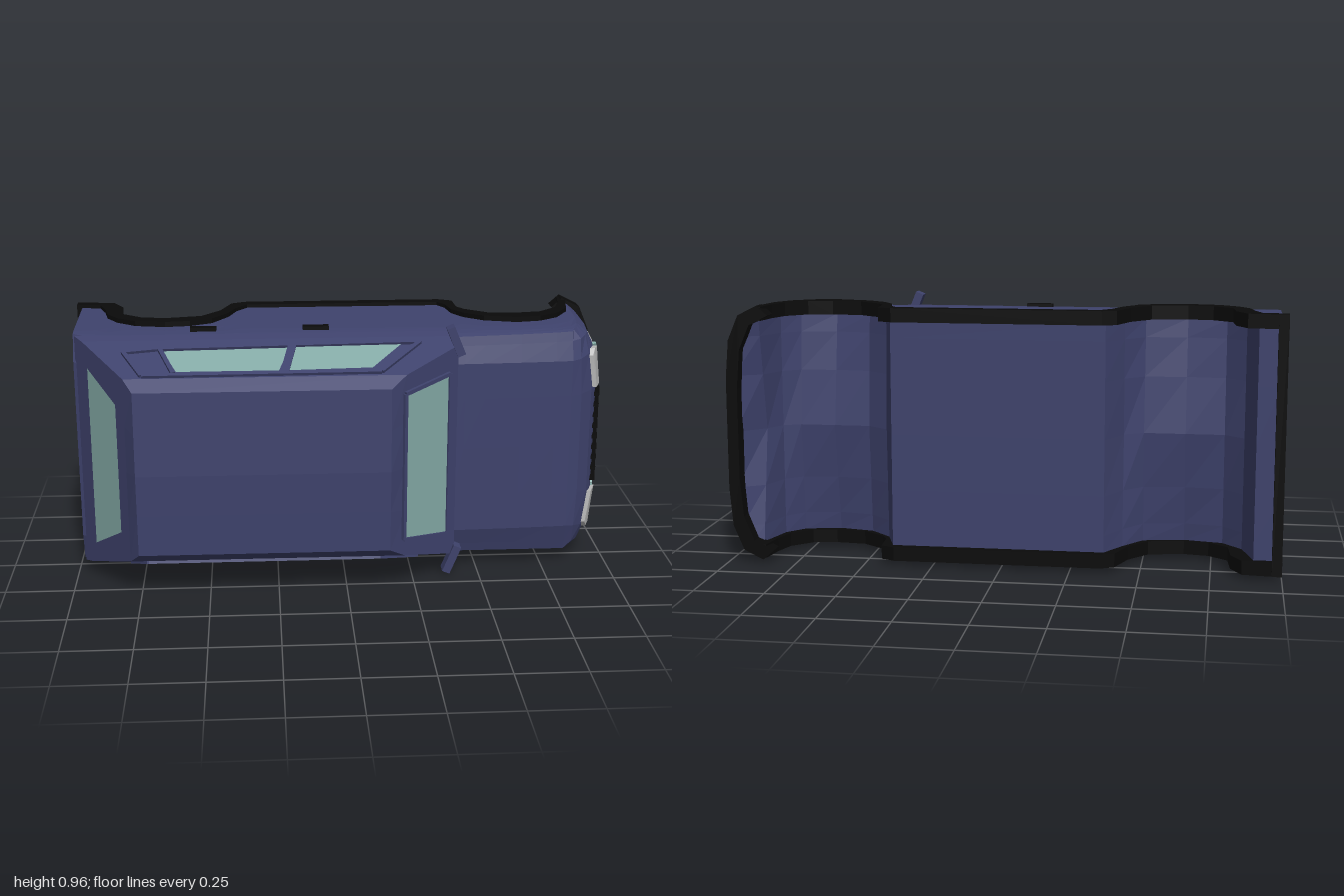
import * as THREE from 'three';

const COLORS = { body: 0x3e426c, black: 0x0a0a0a, glass: 0x84aaa6, lamp: 0xb8b8b8 };
const MATS = Object.fromEntries(Object.entries(COLORS).map(([k, color]) =>
  [k, new THREE.MeshStandardMaterial({ color, flatShading: true, side: THREE.DoubleSide })]));

// Piecewise-linear lookup in a table of [key, value] pairs
function look(table, t) {
  if (t <= table[0][0]) return table[0][1];
  for (let i = 1; i < table.length; i++) {
    const [a, p] = table[i - 1], [b, q] = table[i];
    if (t <= b) return p + (q - p) * (t - a) / (b - a);
  }
  return table[table.length - 1][1];
}

// The car lies on its side: +x is its nose, +z its roof, y runs across it.
// Front face position, receding towards the hood and the corners
const NOSE = [[-0.3, 0.973], [-0.1, 0.966], [0, 0.952], [0.04, 0.932], [0.07, 0.908], [0.1, 0.87]];
const BEND = [[0.2, 0], [0.36, 0.018], [0.41, 0.045], [0.445, 0.09]];
const noseX = (y, z) => look(NOSE, z) - look(BEND, Math.abs(y));
const bodyHalf = z => look([[-0.32, 0.448], [0, 0.44], [0.06, 0.432], [0.1, 0.415]], z);
const cabinHalf = z => look([[0.06, 0.435], [0.1, 0.425], [0.31, 0.342], [0.355, 0.303]], z);
const screenX = z => Math.min(0.41, 0.145 + (0.36 - z) * 1.27);
const tailX = z => -0.98 + (z - 0.05) * 0.75;

// Side outline: x, lower edge, underside at the middle, top
const STATIONS = [
  [-0.98, -0.33, -0.33, 0.06], [-0.9, -0.33, -0.33, 0.1], [-0.86, -0.18, -0.2, 0.1],
  [-0.79, -0.1, -0.14, 0.1], [-0.65, -0.07, -0.14, 0.1], [-0.5, -0.1, -0.14, 0.1],
  [-0.43, -0.2, -0.18, 0.1], [-0.37, -0.3, -0.3, 0.1], [0.4, -0.3, -0.3, 0.122],
  [0.44, -0.18, -0.2, 0.12], [0.52, -0.1, -0.14, 0.117], [0.65, -0.07, -0.14, 0.112],
  [0.78, -0.1, -0.14, 0.105], [0.84, -0.17, -0.17, 0.1], [0.88, -0.32, -0.24, 0.087],
  [0.975, -0.33, -0.33, 0.05]];

// Box whose grid points (column, across, row) are moved by a rule
function gridBox(nx, ny, nz, rule) {
  const g = new THREE.BoxGeometry(1, 1, 1, nx, ny, nz), p = g.attributes.position;
  for (let i = 0; i < p.count; i++) {
    const at = (v, n) => Math.round((v + 0.5) * n);
    p.setXYZ(i, ...rule(at(p.getX(i), nx), at(p.getY(i), ny), at(p.getZ(i), nz)));
  }
  g.computeVertexNormals();
  return g;
}

export function createModel() {
  const model = new THREE.Group();
  model.name = 'car';
  model.position.y = 0.478;
  const add = (name, geo, mat, parent = model) => {
    const m = new THREE.Mesh(geo, MATS[mat]);
    m.name = name;
    parent.add(m);
    return m;
  };
  const group = name => {
    const g = new THREE.Group();
    g.name = name;
    model.add(g);
    return g;
  };
  // Bar from a to b, w wide and d deep along the up direction
  const bar = (name, a, b, w, d, mat, up, parent) => {
    const A = new THREE.Vector3(...a), B = new THREE.Vector3(...b);
    const m = add(name, new THREE.BoxGeometry(w, d, A.distanceTo(B)), mat, parent);
    m.quaternion.setFromRotationMatrix(new THREE.Matrix4().lookAt(A, B, new THREE.Vector3(...up)));
    m.position.copy(A).add(B).multiplyScalar(0.5);
  };
  const path = (name, pts, w, d, mat, up, parent) => {
    for (let i = 1; i < pts.length; i++) bar(name, pts[i - 1], pts[i], w, d, mat, up, parent);
  };
  const box = (name, size, pos, mat, parent) =>
    add(name, new THREE.BoxGeometry(...size), mat, parent).position.set(...pos);
  // Thin flat panel through corner points
  const panel = (name, pts, mat, parent) => {
    const v = [];
    for (let i = 1; i < pts.length - 1; i++) v.push(...pts[0], ...pts[i], ...pts[i + 1]);
    const g = new THREE.BufferGeometry();
    g.setAttribute('position', new THREE.Float32BufferAttribute(v, 3));
    g.computeVertexNormals();
    add(name, g, mat, parent);
  };
  const extrude = (pts, depth) => new THREE.ExtrudeGeometry(
    new THREE.Shape(pts.map(p => new THREE.Vector2(...p))), { depth, bevelEnabled: false });

  // Lower body with wheel wells
  const across = [-1, -0.93, -0.78, -0.46, 0, 0.46, 0.78, 0.93, 1];
  const rows = [0, 0.3, 0.6, 0.82, 0.93, 1];
  add('lowerBody', gridBox(STATIONS.length - 1, 8, 5, (i, j, k) => {
    const [x, edge, mid, top] = STATIONS[i], f = Math.abs(across[j]);
    const low = mid + (edge - mid) * f, high = top - 0.03 * Math.max(0, (f - 0.78) / 0.22);
    const z = low + (high - low) * rows[k], y = across[j] * bodyHalf(z);
    return [Math.min(x, noseX(y, z)), y, z];
  }), 'body');

  // Cabin with a slightly crowned roof
  const levels = [0.06, 0.1, 0.152, 0.31, 0.355];
  add('cabin', gridBox(1, 4, 4, (i, j, k) => {
    const z = levels[k], f = j / 2 - 1;
    const crown = k === 4 ? 0.012 * (1 - Math.abs(f)) : 0;
    return [i ? screenX(z) : tailX(z), f * cabinHalf(z), z + crown];
  }), 'body');

  // Windscreen with its frame, and the flush rear window
  const screen = (xAt, s, hi, lo, wHi, wLo) => [[-wHi, hi], [wHi, hi], [wLo, lo], [-wLo, lo]]
    .map(([y, z]) => [xAt(z) + s * 0.005, y, z + 0.004]);
  const front = screen(screenX, 1, 0.318, 0.182, 0.275, 0.308);
  panel('windscreen', front, 'glass');
  path('windscreenFrame', [...front, front[0]], 0.014, 0.012, 'body', [1, 0, 1.27], group('windscreenFrame'));
  panel('rearWindow', screen(tailX, -1, 0.275, 0.133, 0.24, 0.335), 'glass');

  // Black trim outline: body edge, then the opening edge back
  const trim = [[-1, -0.32], [-0.91, -0.31], [-0.885, -0.24], [-0.87, -0.16], [-0.83, -0.1],
    [-0.76, -0.05], [-0.65, -0.03], [-0.56, -0.04], [-0.48, -0.075], [-0.42, -0.16], [-0.39, -0.24],
    [-0.35, -0.29], [0.38, -0.29], [0.405, -0.25], [0.42, -0.17], [0.46, -0.11], [0.53, -0.06],
    [0.65, -0.03], [0.74, -0.045], [0.81, -0.09], [0.86, -0.17], [0.885, -0.31], [0.88, -0.365],
    [0.86, -0.36], [0.845, -0.26], [0.82, -0.18], [0.75, -0.115], [0.66, -0.1], [0.55, -0.11],
    [0.47, -0.17], [0.445, -0.21], [0.44, -0.31], [0.39, -0.335], [-0.36, -0.335], [-0.41, -0.31],
    [-0.45, -0.2], [-0.52, -0.115], [-0.65, -0.09], [-0.74, -0.105], [-0.81, -0.16],
    [-0.82, -0.27], [-0.86, -0.345], [-1, -0.36]];

  for (const s of [1, -1]) {
    const side = group(s > 0 ? 'upperSide' : 'lowerSide');
    const t = add('wheelArchTrim', extrude(trim, 0.05).rotateX(Math.PI / 2), 'black', side);
    t.position.y = s > 0 ? 0.46 : -0.41;
    // Side windows and frame
    const up = [0, s, 0.4];
    const at = ([x, z], off) => [x, s * (cabinHalf(z) + off), z + off * 0.4];
    for (const w of [
      [[-0.65, 0.17], [-0.6, 0.283], [-0.24, 0.283], [-0.2, 0.16]],
      [[-0.18, 0.157], [-0.21, 0.283], [0.09, 0.275], [0.2, 0.15]]])
      panel('sideWindow', w.map(p => at(p, 0.006)), 'glass', side);
    const frame = [[-0.79, 0.17], [-0.72, 0.3], [0.12, 0.295], [0.27, 0.135], [-0.67, 0.155], [-0.79, 0.17]];
    path('windowFrame', frame.map(p => at(p, 0.003)), 0.016, 0.014, 'body', up, side);
    bar('doorPillar', at([-0.22, 0.29], 0.003), at([-0.19, 0.15], 0.003), 0.03, 0.014, 'body', up, side);
    bar('rearPillar', at([-0.61, 0.29], 0.003), at([-0.66, 0.16], 0.003), 0.016, 0.014, 'body', up, side);
    // Door handles and mirror
    for (const x of [-0.51, -0.1])
      box('doorHandle', [0.095, 0.03, 0.03], [x, s * 0.435, 0.013], 'black', side);
    bar('mirror', [0.42, s * 0.37, 0.15], [0.378, s * 0.472, 0.15], 0.03, 0.05, 'body', [0, 0, 1], side);
    // Headlamp and corner strip
    const lampAt = (y, z, off) => [noseX(y, z) + off, s * y, z];
    const lamp = [[0.205, 0.04], [0.33, 0.048], [0.352, 0.03], [0.35, -0.015], [0.27, -0.025], [0.205, -0.02]];
    panel('headlamp', lamp.map(([y, z]) => lampAt(y, z, 0.014)), 'lamp', side);
    lamp.forEach(([y, z], i) => {
      const [y2, z2] = lamp[(i + 1) % lamp.length];
      panel('headlampRim', [lampAt(y, z, 0.014), lampAt(y2, z2, 0.014),
        lampAt(y2, z2, -0.02), lampAt(y, z, -0.02)], 'lamp', side);
    });
    path('cornerStrip', [[0.335, -0.265], [0.315, -0.132], [0.215, -0.132]].map(([y, z]) => lampAt(y, z, 0.006)),
      0.014, 0.014, 'lamp', [1, 0, 0], side);
  }

  // Bumpers
  const mirror = pts => pts.map(([x, y]) => [x, -y]).reverse();
  const half = [[0.99, 0.2], [0.978, 0.34], [0.94, 0.43], [0.87, 0.465]];
  const inner = half.map(([x, y]) => [x - 0.04, y - 0.035]).reverse();
  add('frontBumper', extrude([...mirror(half), ...half, ...inner, ...mirror(inner)], 0.065), 'black')
    .position.z = -0.368;
  box('rearBumper', [0.035, 0.92, 0.04], [-0.982, 0, -0.34], 'black');

  // Grille slats with a surrounding strip
  const grille = group('grille');
  for (let i = -4; i <= 4; i++) {
    const y = i * 0.0418 + 0.004, end = -0.108 + 0.0065 * Math.abs(i);
    bar('grilleSlat', [noseX(y, 0.022) + 0.005, y, 0.022], [noseX(y, end) + 0.005, y, end], 0.013, 0.03, 'black', [1, 0, 0], grille);
  }
  const strip = [[-0.02, 0.36], [-0.045, 0.295], [-0.053, 0.21], [-0.07, 0.19], [-0.108, 0.175], [-0.127, 0.145]];
  path('grilleStrip', [...strip, ...mirror(strip)].map(([z, y]) => [noseX(y, z) + 0.004, y, z]),
    0.013, 0.014, 'glass', [1, 0, 0], grille);

  // Lower intake slats and blank plates
  for (const [z, w] of [[-0.215, 0.39], [-0.243, 0.48], [-0.27, 0.57]])
    box('intakeSlat', [0.035, w, 0.017], [0.98, -0.005, z], 'black');
  box('frontPlate', [0.02, 0.23, 0.05], [0.974, -0.012, -0.175], 'lamp');
  box('rearPlate', [0.012, 0.23, 0.055], [-0.982, 0, -0.08], 'lamp');
  return model;
}
